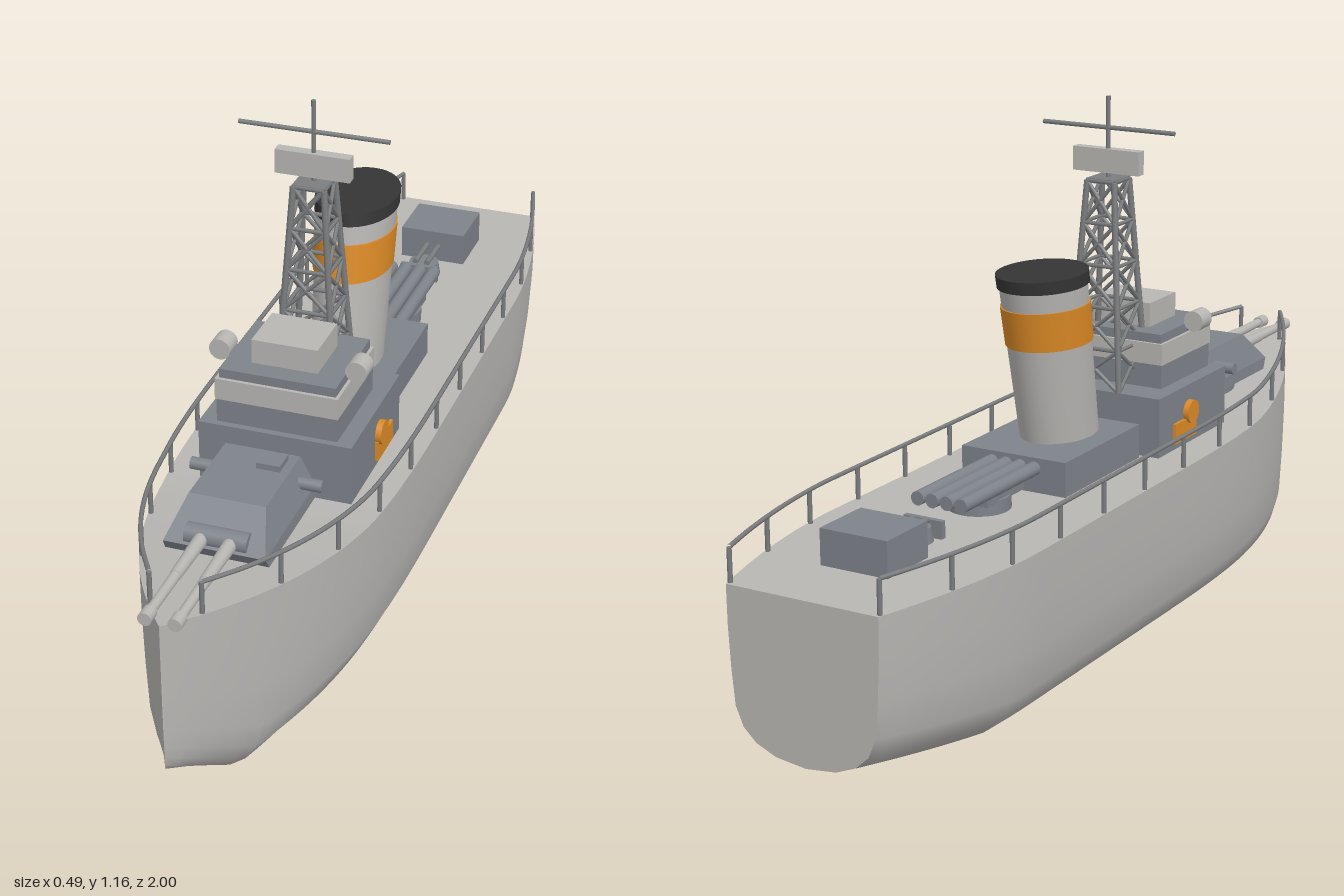
import * as THREE from 'three';

const mat = (name, color, side = THREE.FrontSide) => {
  const m = new THREE.MeshStandardMaterial({ color, side });
  m.name = name;
  return m;
};

// Hull lines as functions of z
const halfWidth = z => z > 0 ? 0.245 * (1 - Math.pow(z, 3.2)) + 0.001
  : 0.246 - 0.075 * Math.pow(Math.max(0, (-z - 0.55) / 0.45), 1.8);
const keelY = z => z > 0.8 ? 0.7 * (z - 0.8) : 0.175 * Math.max(0, -z - 0.63);
const deckY = z => 0.4 + 0.07 * Math.pow(Math.max(0, (z - 0.45) / 0.55), 1.2);

export function createModel() {
  const ship = new THREE.Group();
  ship.name = 'warship';
  const light = mat('light grey', 0xb8b6b3, THREE.DoubleSide);
  const slate = mat('slate grey', 0x7e838a);
  const steel = mat('steel grey', 0x7b7d7f);
  const orange = mat('orange', 0xdb8a26);
  const black = mat('black', 0x353535);

  const add = (name, geo, material, x = 0, y = 0, z = 0, parent = ship) => {
    const m = new THREE.Mesh(geo, material);
    m.name = name;
    m.position.set(x, y, z);
    parent.add(m);
    return m;
  };
  // Box given by width, y range and z range
  const block = (name, material, w, y0, y1, z0, z1, x = 0) =>
    add(name, new THREE.BoxGeometry(w, y1 - y0, z1 - z0), material, x, (y0 + y1) / 2, (z0 + z1) / 2);
  // Round bar between two points
  const bar = (name, a, b, r, material, parent = ship, r2 = r, sides = 8) => {
    const p = new THREE.Vector3(...a), q = new THREE.Vector3(...b);
    const m = add(name, new THREE.CylinderGeometry(r2, r, p.distanceTo(q), sides), material, 0, 0, 0, parent);
    m.position.copy(p).lerp(q, 0.5);
    m.quaternion.setFromUnitVectors(new THREE.Vector3(0, 1, 0), q.sub(p).normalize());
    return m;
  };
  const surface = (name, pos, idx, material) => {
    const g = new THREE.BufferGeometry();
    g.setAttribute('position', new THREE.Float32BufferAttribute(pos, 3));
    g.setIndex(idx);
    g.computeVertexNormals();
    return add(name, g, material);
  };

  // Hull: one half section, mirrored and swept along the stations
  const half = [[1, 1], [0.995, 0.75], [0.97, 0.5], [0.93, 0.28], [0.83, 0.16], [0.66, 0.08], [0.4, 0.025]];
  const section = [...half, [0, 0], ...half.map(([u, v]) => [-u, v]).reverse()];
  const n = section.length, stations = 60;
  const pos = [], idx = [], deckPos = [], deckIdx = [];
  for (let j = 0; j <= stations; j++) {
    const z = -1 + 2 * j / stations, w = halfWidth(z), k = keelY(z), d = deckY(z);
    section.forEach(([u, v]) => pos.push(u * w, k + (d - k) * v, z));
    deckPos.push(w, d, z, -w, d, z);
    if (j === stations) break;
    for (let i = 0; i < n - 1; i++) {
      const a = j * n + i, c = a + n;
      idx.push(a, c, a + 1, a + 1, c, c + 1);
    }
    const p = j * 2;
    deckIdx.push(p, p + 1, p + 2, p + 1, p + 3, p + 2);
  }
  surface('hull', pos, idx, light);
  surface('deck', deckPos, deckIdx, light);
  const fan = [];
  for (let i = 1; i < n - 1; i++) fan.push(0, i, i + 1);
  surface('transom', pos.slice(0, n * 3), fan, light);

  // Railings along both deck edges
  for (const s of [1, -1]) {
    const at = (z, h) => new THREE.Vector3(s * (halfWidth(z) - 0.006), deckY(z) + h, z);
    const pts = [];
    for (let i = 0; i <= 24; i++) pts.push(at(0.92 - 1.91 * i / 24, 0.07));
    add('handrail', new THREE.TubeGeometry(new THREE.CatmullRomCurve3(pts), 72, 0.005, 6), steel);
    for (let i = 0; i <= 11; i++) {
      const z = 0.92 - 1.91 * i / 11;
      bar('railPost', at(z, 0).toArray(), at(z, 0.07).toArray(), 0.005, steel, ship, 0.005, 6);
    }
  }

  // Bridge
  block('deckhouse', slate, 0.33, 0.395, 0.532, 0.08, 0.395);
  block('bridgeBase', slate, 0.26, 0.53, 0.587, 0.155, 0.38);
  block('bridgeWindowBand', light, 0.264, 0.585, 0.632, 0.153, 0.383);
  block('bridgeRoof', slate, 0.25, 0.63, 0.652, 0.16, 0.375);
  block('lookoutHouse', light, 0.142, 0.65, 0.705, 0.21, 0.33);
  for (const s of [1, -1]) {
    bar('searchlight', [s * 0.147, 0.66, 0.27], [s * 0.147, 0.66, 0.315], 0.023, light, ship, 0.023, 20);
    bar('searchlightArm', [s * 0.115, 0.64, 0.29], [s * 0.145, 0.645, 0.29], 0.008, steel);
    // Life-saving gear on the deckhouse sides
    bar('lifeRing', [s * 0.165, 0.472, 0.218], [s * 0.178, 0.472, 0.218], 0.026, orange, ship, 0.026, 24);
    block('lifeRaft', orange, 0.009, 0.415, 0.46, 0.145, 0.243, s * 0.168);
  }

  // Lattice mast
  const mast = new THREE.Group();
  mast.name = 'latticeMast';
  ship.add(mast);
  const mz = 0.148, levels = 5, y0 = 0.53, y1 = 0.985;
  const corner = (c, t) => {
    const h = 0.063 - 0.03 * t, k = c % 4;
    return [(k === 0 || k === 3 ? h : -h), y0 + (y1 - y0) * t, mz + (k < 2 ? h : -h)];
  };
  for (let c = 0; c < 4; c++) {
    bar('mastLeg', corner(c, 0), corner(c, 1), 0.007, steel, mast);
    for (let l = 0; l < levels; l++) {
      const a = l / levels, b = (l + 1) / levels;
      bar('mastBrace', corner(c, a), corner(c + 1, b), 0.0045, steel, mast, 0.0045, 6);
      bar('mastBrace', corner(c + 1, a), corner(c, b), 0.0045, steel, mast, 0.0045, 6);
      bar('mastRing', corner(c, b), corner(c + 1, b), 0.0045, steel, mast, 0.0045, 6);
    }
  }
  block('mastCap', steel, 0.07, 0.98, 0.99, mz - 0.035, mz + 0.035);
  bar('topPole', [0, 0.98, mz], [0, 1.165, mz], 0.005, steel);
  bar('yard', [-0.16, 1.097, mz], [0.16, 1.097, mz], 0.005, steel);
  block('radarPanel', light, 0.16, 1.0, 1.052, mz - 0.012, mz + 0.012);

  // Raked oval funnel, in horizontal bands
  block('funnelBase', slate, 0.25, 0.395, 0.475, -0.252, 0.065);
  const rake = -0.19;
  const band = (name, material, a, b, grow) => {
    const r = y => 0.077 + 0.022 * (y - 0.475) + grow;
    const g = new THREE.CylinderGeometry(r(b), r(a), b - a, 40);
    g.applyMatrix4(new THREE.Matrix4().set(1, 0, 0, 0, 0, 1, 0, 0, 0, rake, 1.34, 0, 0, 0, 0, 1));
    const mid = (a + b) / 2;
    add(name, g, material, 0, mid, -0.062 + rake * (mid - 0.475));
  };
  band('funnelLower', light, 0.47, 0.69, 0);
  band('funnelStripe', orange, 0.685, 0.77, 0.003);
  band('funnelUpper', light, 0.765, 0.82, 0);
  band('funnelCap', black, 0.812, 0.84, 0.004);

  // Forward gun turret: a box drawn in towards its roof
  bar('turretRing', [0, 0.39, 0.59], [0, 0.45, 0.59], 0.085, slate, ship, 0.085, 32);
  const shell = new THREE.BoxGeometry(1, 1, 1, 1, 2, 1);
  const p = shell.attributes.position;
  for (let i = 0; i < p.count; i++) {
    const lv = Math.round((p.getY(i) + 0.5) * 2);
    p.setXYZ(i, Math.sign(p.getX(i)) * [0.108, 0.106, 0.08][lv], [0.44, 0.465, 0.535][lv],
      p.getZ(i) > 0 ? [0.715, 0.73, 0.655][lv] : [0.45, 0.445, 0.46][lv]);
  }
  const flat = shell.toNonIndexed();
  flat.computeVertexNormals();
  add('turret', flat, slate);
  block('turretHatch', slate, 0.05, 0.53, 0.548, 0.48, 0.53, 0.037);
  bar('rangefinder', [-0.14, 0.497, 0.495], [0.14, 0.497, 0.495], 0.013, slate, ship, 0.013, 16);
  bar('gunMantlet', [-0.065, 0.478, 0.705], [0.065, 0.478, 0.705], 0.022, slate, ship, 0.022, 16);
  for (const x of [-0.03, 0.03]) {
    bar('gunSleeve', [x, 0.478, 0.7], [x, 0.478, 0.85], 0.015, light, ship, 0.012, 16);
    bar('gunBarrel', [x, 0.478, 0.84], [x, 0.478, 0.98], 0.011, light, ship, 0.01, 16);
    bar('gunMuzzle', [x, 0.478, 0.97], [x, 0.478, 1], 0.014, light, ship, 0.014, 16);
  }

  // Torpedo tubes on a turntable
  bar('tubeTurntable', [0, 0.395, -0.385], [0, 0.43, -0.385], 0.066, slate, ship, 0.066, 32);
  block('tubeCradle', slate, 0.12, 0.425, 0.442, -0.45, -0.31);
  for (const x of [-0.051, -0.017, 0.017, 0.051])
    bar('torpedoTube', [x, 0.452, -0.535], [x, 0.452, -0.23], 0.015, slate, ship, 0.015, 16);

  // Small aft gun with shield, and stern locker
  bar('aftGunMount', [0, 0.395, -0.625], [0, 0.43, -0.625], 0.04, slate, ship, 0.034, 24);
  block('aftGunShield', slate, 0.09, 0.4, 0.437, -0.594, -0.582);
  for (const x of [-0.014, 0.014])
    bar('aftGunBarrel', [x, 0.438, -0.6], [x, 0.438, -0.7], 0.007, steel);
  block('sternLocker', slate, 0.154, 0.395, 0.475, -0.83, -0.693);

  return ship;
}
